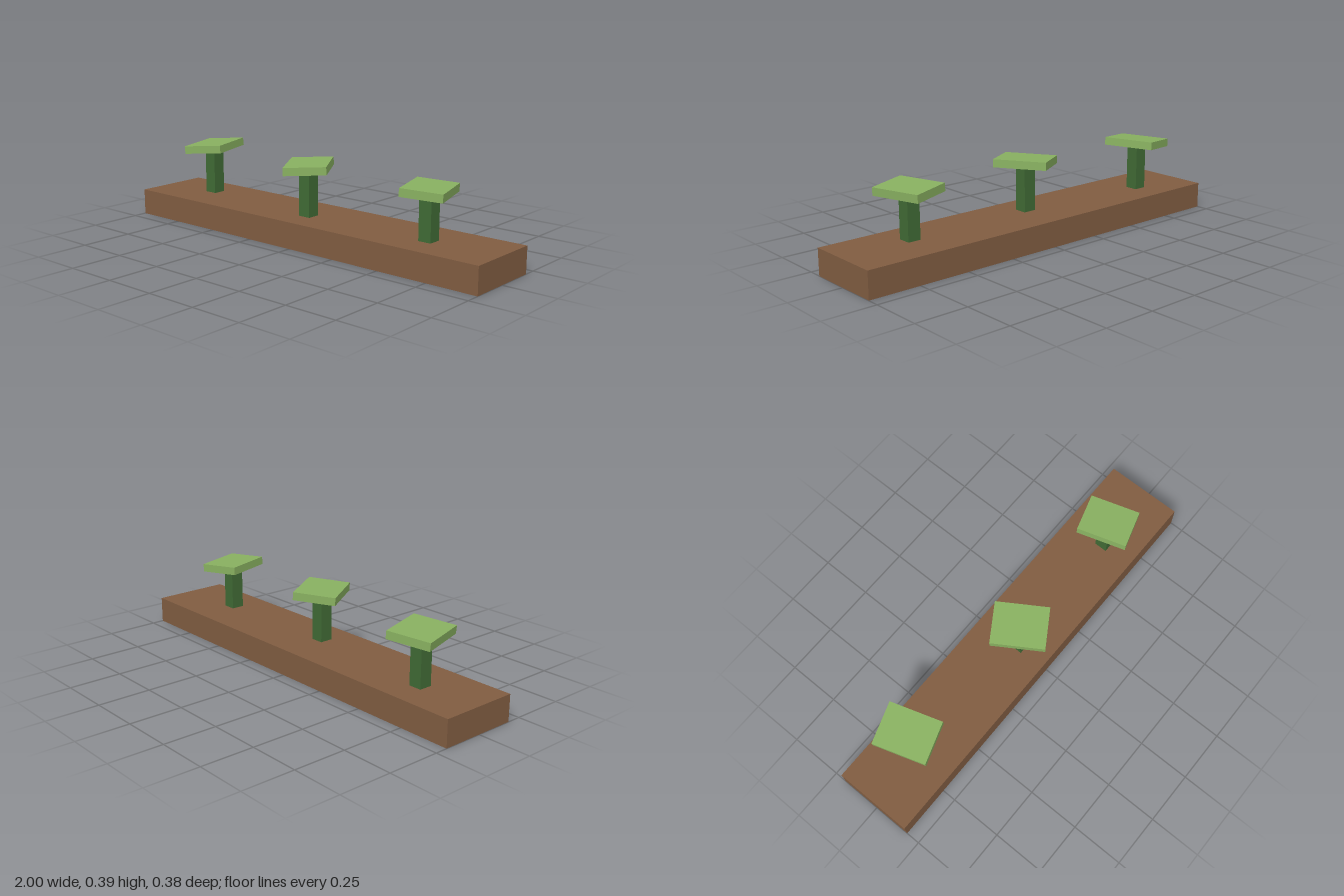
import * as THREE from 'three';

// Box without its bottom face, with the origin at the centre of the top
function openBox(w, h, d) {
  const geo = new THREE.BoxGeometry(w, h, d);
  const index = Array.from(geo.index.array);
  index.splice(18, 6);
  geo.setIndex(index);
  geo.clearGroups();
  return geo.translate(0, -h / 2, 0);
}

export function createModel() {
  const soil = new THREE.MeshStandardMaterial({ color: 0x805c41, side: THREE.DoubleSide });
  soil.name = 'soil brown';
  const stemGreen = new THREE.MeshStandardMaterial({ color: 0x406a35, side: THREE.DoubleSide });
  stemGreen.name = 'stem green';
  const leafGreen = new THREE.MeshStandardMaterial({ color: 0x88b060, side: THREE.DoubleSide });
  leafGreen.name = 'leaf green';

  const model = new THREE.Group();
  model.name = 'plantedBed';

  const add = (parent, name, geo, mat, x, y, z) => {
    const mesh = new THREE.Mesh(geo, mat);
    mesh.name = name;
    mesh.position.set(x, y, z);
    parent.add(mesh);
    return mesh;
  };

  // Hollow bed
  add(model, 'bed', openBox(2, 0.125, 0.375), soil, 0, 0.125, -0.0045);

  // Plants: position, cap top height, cap size, turn and tilt in degrees
  const plants = [
    { x: -0.7, z: -0.031, top: 0.379, w: 0.198, d: 0.25, turn: 17.8, tilt: 5 },
    { x: -0.014, z: 0.031, top: 0.377, w: 0.198, d: 0.25, turn: 32.4, tilt: 3 },
    { x: 0.649, z: 0.0185, top: 0.365, w: 0.19, d: 0.238, turn: 17, tilt: -3 },
  ];
  for (const p of plants) {
    const plant = new THREE.Group();
    plant.name = 'plant';
    plant.position.set(p.x, 0, p.z);
    model.add(plant);

    // Square stem reaching up into the cap
    const stemTop = p.top - 0.006;
    add(plant, 'stem', openBox(0.0625, stemTop - 0.125, 0.0625), stemGreen, 0, stemTop, 0);

    // Tilted leaf cap
    const cap = add(plant, 'leafCap', openBox(p.w, 0.0375, p.d), leafGreen, 0, p.top, 0);
    cap.rotation.set(0, THREE.MathUtils.degToRad(p.turn), THREE.MathUtils.degToRad(p.tilt));
  }
  return model;
}
